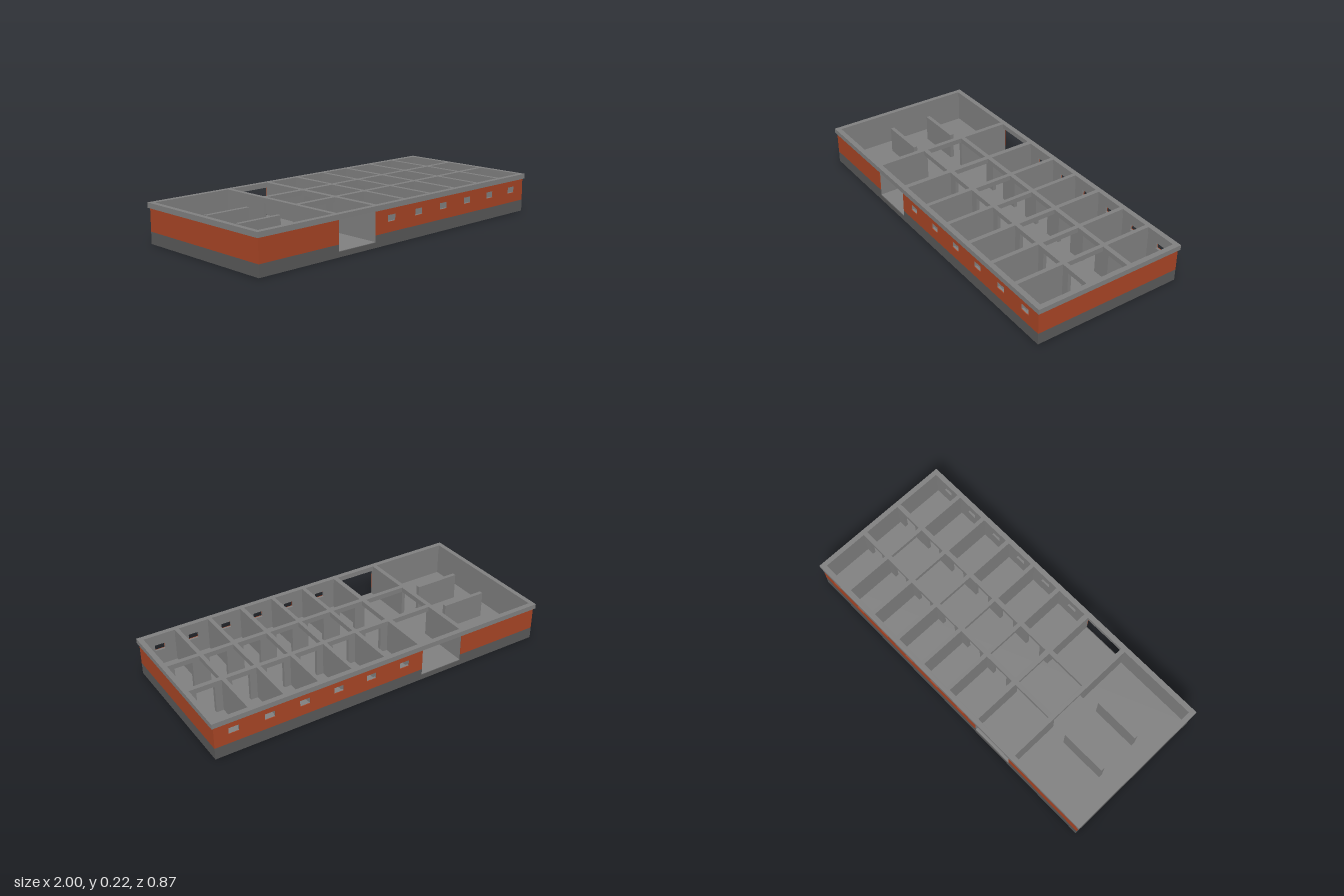
import * as THREE from 'three';

const mat = (name, color) => {
  const m = new THREE.MeshStandardMaterial({ color });
  m.name = name;
  return m;
};

export function createModel() {
  const grey = mat('concrete grey', 0x808080);
  const brick = mat('brick red', 0xa84525);
  const dark = mat('plinth dark grey', 0x595959);
  const group = new THREE.Group();

  const add = (name, geo, material) => {
    const mesh = new THREE.Mesh(geo, material);
    mesh.name = name;
    group.add(mesh);
  };
  // Box given by its limits on each axis
  const box = (name, material, x0, x1, y0, y1, z0, z1) => {
    const g = new THREE.BoxGeometry(x1 - x0, y1 - y0, z1 - z0);
    g.translate((x0 + x1) / 2, (y0 + y1) / 2, (z0 + z1) / 2);
    add(name, g, material);
  };
  const rect = (x0, x1, y0, y1, Type = THREE.Path) => {
    const s = new Type();
    s.moveTo(x0, y0);
    s.lineTo(x1, y0);
    s.lineTo(x1, y1);
    s.lineTo(x0, y1);
    s.closePath();
    return s;
  };
  // Upright panel along x with rectangular openings
  const panel = (name, material, x0, x1, y0, y1, z0, z1, holes = []) => {
    const s = rect(x0, x1, y0, y1, THREE.Shape);
    holes.forEach(h => s.holes.push(rect(...h)));
    const g = new THREE.ExtrudeGeometry(s, { depth: z1 - z0, bevelEnabled: false });
    g.translate(0, 0, z0);
    add(name, g, material);
  };

  const X = 0.99, Z = 0.428, FLOOR = 0.03, BAND = 0.065, TOP = 0.19, HEIGHT = 0.218;
  const doorL = -0.487, doorR = -0.23;
  // Room limits along x and z
  const cols = [[-0.484, -0.238], [-0.21, -0.02], [0.003, 0.18], [0.202, 0.376],
    [0.4, 0.574], [0.597, 0.77], [0.793, 0.972]];
  const rows = [[-0.407, -0.138], [-0.112, 0.112], [0.138, 0.407]];
  const stallCentres = [-0.115, 0.091, 0.289, 0.487, 0.685, 0.882];
  const windows = stallCentres.map(c => [c - 0.029, c + 0.029, 0.12, 0.155]);

  // Foundation and floor
  box('foundation', dark, -X, X, 0, FLOOR - 0.002, -Z, Z);
  box('floor', grey, -X + 0.004, X - 0.004, FLOOR - 0.002, FLOOR, -Z + 0.004, Z - 0.004);

  // Front and back walls: grey core with thin brick and plinth facing
  for (const s of [-1, 1]) {
    const zr = (a, b) => (s > 0 ? [a, b] : [-b, -a]);
    const core = zr(Z - 0.016, Z - 0.004), face = zr(Z - 0.004, Z);
    const side = s > 0 ? 'front' : 'back';
    panel(side + 'WallLeftOfDoor', grey, -X + 0.004, doorL, FLOOR, TOP, ...core);
    panel(side + 'WallWithWindows', grey, doorR, X - 0.004, FLOOR, TOP, ...core, windows);
    panel(side + 'BrickLeftOfDoor', brick, -X, doorL, BAND, TOP, ...face);
    panel(side + 'BrickWithWindows', brick, doorR, X, BAND, TOP, ...face, windows);
    box(side + 'PlinthLeftOfDoor', dark, -X, doorL, FLOOR - 0.002, BAND, ...face);
    box(side + 'PlinthRightOfDoor', dark, doorR, X, FLOOR - 0.002, BAND, ...face);

    // End walls
    const xr = (a, b) => (s > 0 ? [a, b] : [-b, -a]);
    const end = s > 0 ? 'leftEnd' : 'rightEnd';
    box(end + 'Wall', grey, ...xr(X - 0.016, X - 0.004), FLOOR, TOP, -Z + 0.016, Z - 0.016);
    box(end + 'Brick', brick, ...xr(X - 0.004, X), BAND, TOP, -Z + 0.004, Z - 0.004);
    box(end + 'Plinth', dark, ...xr(X - 0.004, X), FLOOR - 0.002, BAND, -Z + 0.004, Z - 0.004);

    // Cross walls between the rooms on each side of the corridor
    for (const x of [-0.497, -0.22, -0.009, 0.191, 0.388, 0.586, 0.782])
      box(side + 'CrossWall', grey, x - 0.01, x + 0.01, FLOOR, TOP, ...zr(0.115, Z - 0.016));

    // Corridor wall pieces, leaving a doorway for every stall
    let start = doorR;
    for (const c of [...stallCentres, null]) {
      const stop = c === null ? X - 0.016 : c - 0.05;
      box(side + 'CorridorWall', grey, start, stop, FLOOR, TOP, ...zr(0.115, 0.135));
      start = c + 0.05;
    }

    // Free-standing screen in the large hall
    box(side + 'HallScreen', grey, -0.87, -0.605, FLOOR, 0.182, ...zr(0.113, 0.135));
  }

  // Roof frame: one slab with an opening above every room
  const frame = rect(-1, 1, -0.436, 0.436, THREE.Shape);
  frame.holes.push(rect(-0.973, -0.51, -0.407, 0.407));
  for (const c of cols) for (const r of rows) frame.holes.push(rect(...c, ...r));
  const g = new THREE.ExtrudeGeometry(frame, { depth: HEIGHT - TOP, bevelEnabled: false });
  g.rotateX(-Math.PI / 2);
  g.translate(0, TOP, 0);
  add('roofFrame', g, grey);

  return group;
}
